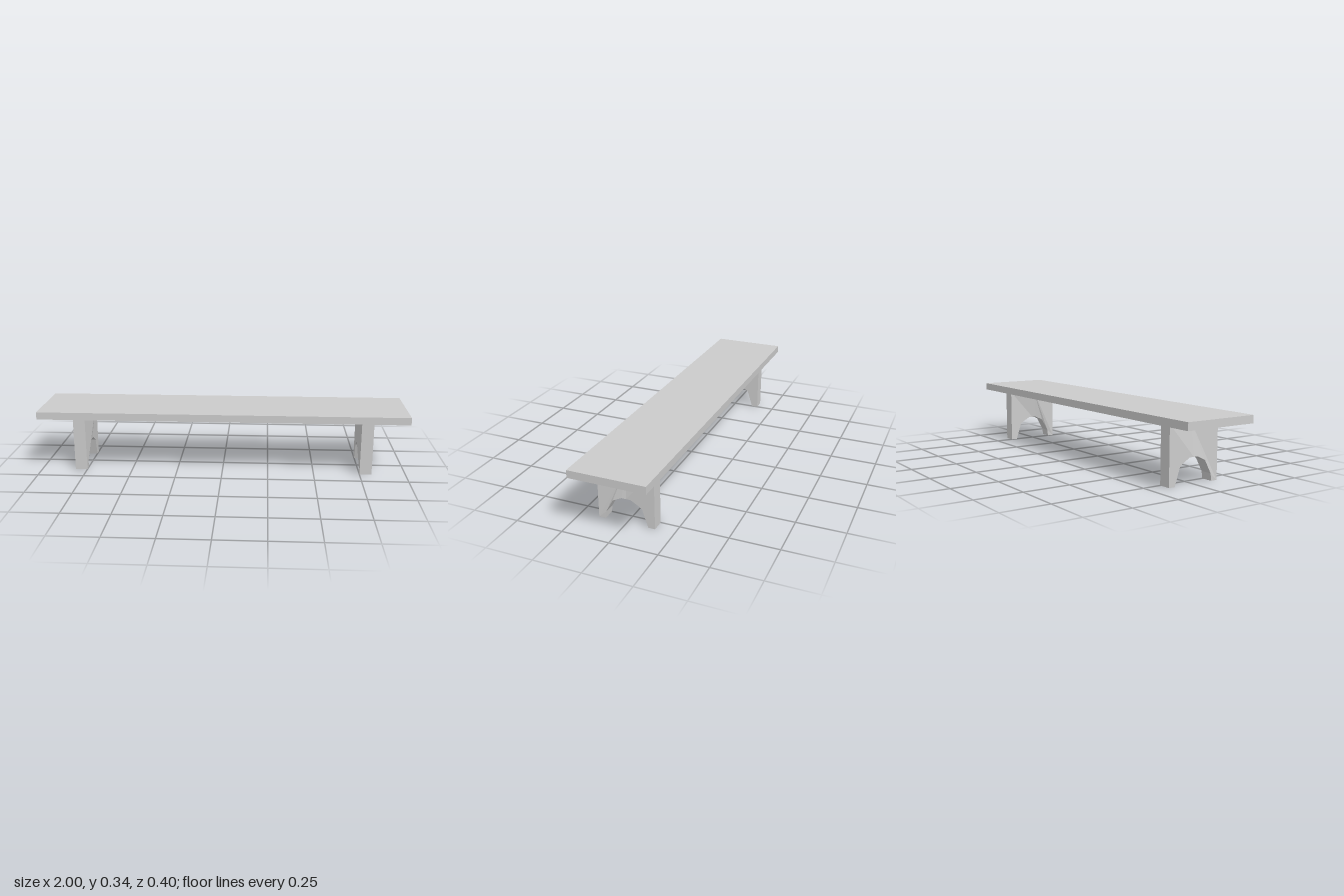
import * as THREE from 'three';

const material = new THREE.MeshStandardMaterial({ color: 0xcccccc, flatShading: true });

const LEG = { inner: 0.75, thick: 0.065, height: 0.302, halfWidth: 0.15, bow: 0.025 };

// Half of a leg board, from the centre line to its outer edge, with the arch cut out
function halfLegShape(s, arch) {
  const points = [[0, LEG.height], [LEG.halfWidth, LEG.height], [LEG.halfWidth, 0], ...arch, [0, 0.132]];
  return new THREE.Shape(points.map(([u, y]) => new THREE.Vector2(s * u, y)));
}

// Leg board standing across the bench, bowed slightly inwards at the top centre
function makeLeg(side) {
  const front = [[0.115, 0], [0.11, 0.038], [0.072, 0.108], [0.024, 0.132]];
  const back = [[0.115, 0], [0.084, 0.095], [0.07, 0.106], [0.024, 0.132]];
  const geometry = new THREE.ExtrudeGeometry(
    [halfLegShape(-1, front), halfLegShape(1, back)],
    { depth: LEG.thick, bevelEnabled: false }
  );
  geometry.rotateY(Math.PI / 2);
  geometry.translate(side > 0 ? LEG.inner : -LEG.inner - LEG.thick, 0, 0);

  const p = geometry.attributes.position;
  for (let i = 0; i < p.count; i++) {
    const rise = Math.max(0, p.getY(i) - 0.132) / (LEG.height - 0.132);
    const centre = 1 - Math.abs(p.getZ(i)) / LEG.halfWidth;
    p.setX(i, p.getX(i) - side * LEG.bow * rise * centre);
  }
  geometry.computeVertexNormals();
  return new THREE.Mesh(geometry, material);
}

export function createModel() {
  const bench = new THREE.Group();
  bench.name = 'bench';

  // Seat plank
  const seat = new THREE.Mesh(new THREE.BoxGeometry(2, 0.04, 0.4), material);
  seat.position.y = 0.32;
  seat.name = 'seat';
  bench.add(seat);

  // Two arched legs
  for (const side of [1, -1]) {
    const leg = makeLeg(side);
    leg.name = side > 0 ? 'leftLeg' : 'rightLeg';
    bench.add(leg);
  }
  return bench;
}
